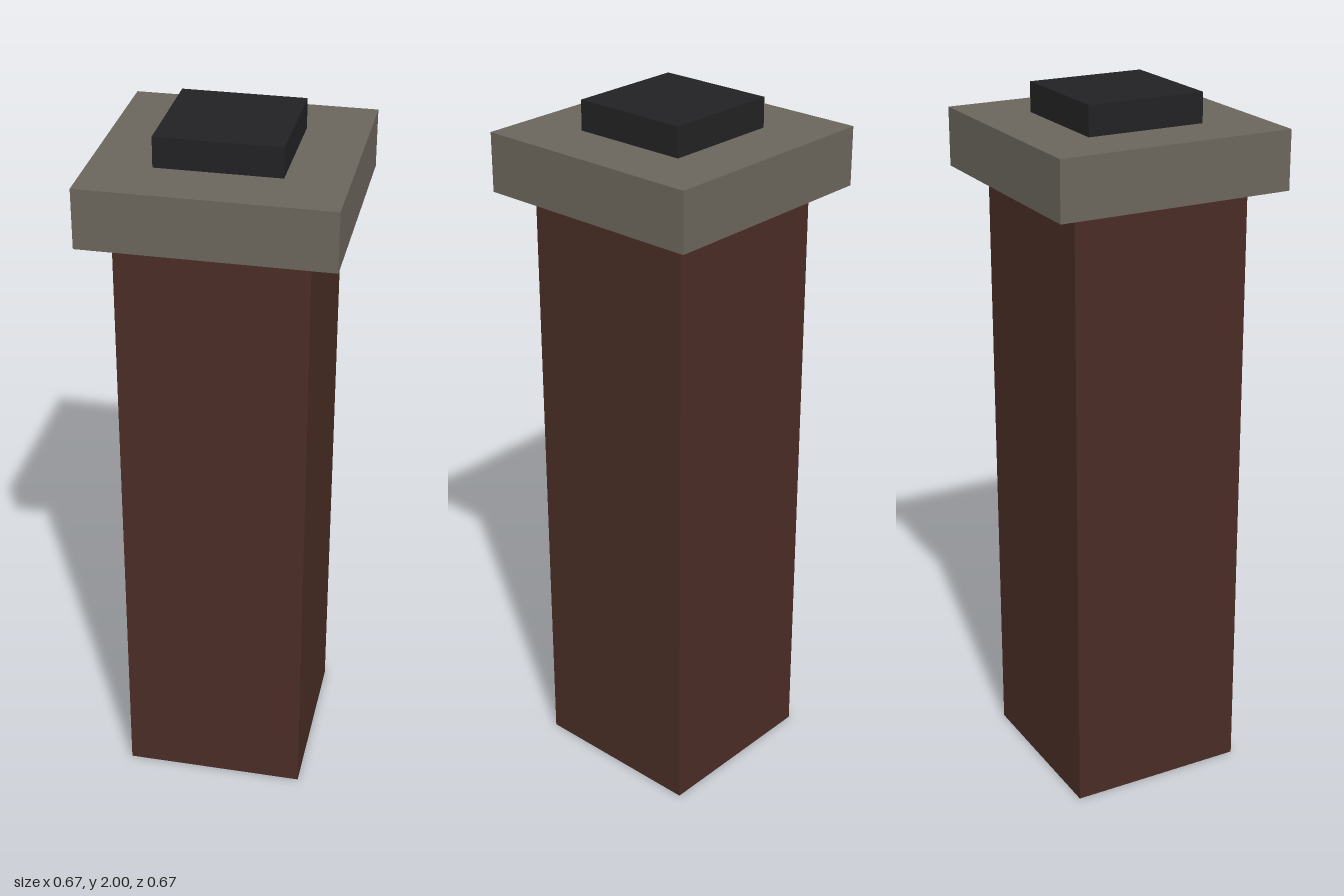
import * as THREE from 'three';

// Square block, centred on the y axis, spanning bottom to top
function block(name, width, bottom, top, color) {
  const mesh = new THREE.Mesh(
    new THREE.BoxGeometry(width, top - bottom, width),
    new THREE.MeshStandardMaterial({ color })
  );
  mesh.name = name;
  mesh.position.y = (bottom + top) / 2;
  return mesh;
}

export function createModel() {
  const model = new THREE.Group();
  model.name = 'chimney';
  model.add(
    block('brickStack', 0.516, 0, 1.753, 0x4a2c25),
    block('stoneCap', 0.674, 1.753, 1.917, 0x6b665c),
    block('flue', 0.338, 1.917, 2, 0x222224)
  );
  return model;
}
